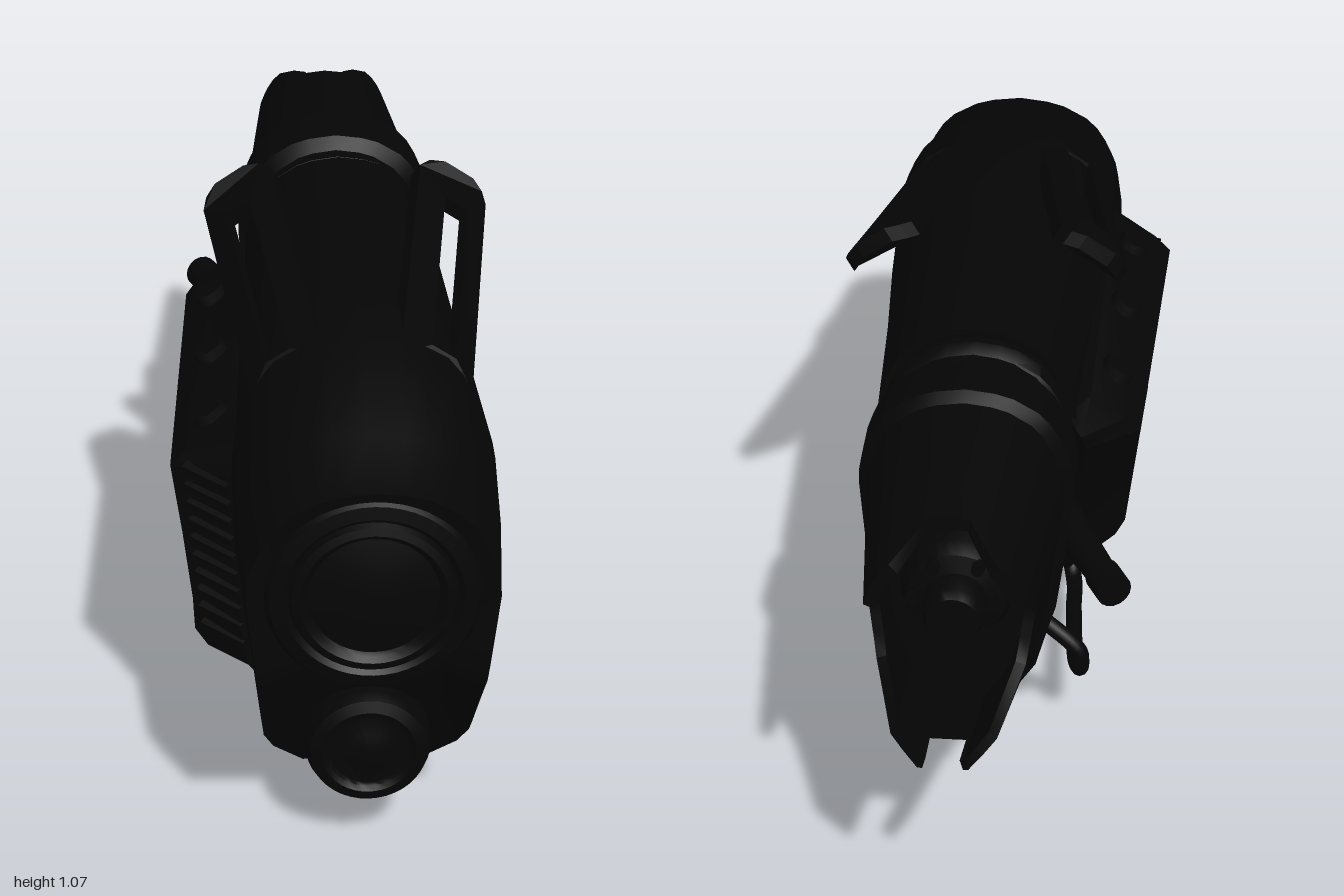
import * as THREE from 'three';
import { toCreasedNormals } from 'three/addons/utils/BufferGeometryUtils.js';

const CX = 0.04; // body symmetry plane
const mat = new THREE.MeshStandardMaterial({ color: 0x050505, side: THREE.DoubleSide });

function add(parent, name, geo, x = 0, y = 0, z = 0, rx = 0, ry = 0, rz = 0) {
  const m = new THREE.Mesh(geo, mat);
  m.name = name;
  m.position.set(x, y, z);
  m.rotation.set(rx, ry, rz);
  parent.add(m);
  return m;
}

// Piecewise linear lookup in rows [key, a, b, ...] with rising keys
function lerpRows(rows, k) {
  if (k <= rows[0][0]) return rows[0].slice(1);
  for (let i = 1; i < rows.length; i++) {
    const p = rows[i - 1], q = rows[i];
    if (k <= q[0]) return p.slice(1).map((a, j) => a + (q[j + 1] - a) * (k - p[0]) / (q[0] - p[0]));
  }
  return rows[rows.length - 1].slice(1);
}

// Skin closed rings of points; optionally cap the ends with fans
function skin(rings, capStart, capEnd) {
  const n = rings[0].length, pos = rings.flat(2), idx = [];
  for (let s = 0; s < rings.length - 1; s++)
    for (let i = 0; i < n; i++) {
      const a = s * n + i, b = s * n + (i + 1) % n;
      idx.push(a, b, a + n, b, b + n, a + n);
    }
  const cap = (s, flip) => {
    const c = pos.length / 3, mid = [0, 1, 2].map(k => rings[s].reduce((t, p) => t + p[k], 0) / n);
    pos.push(...mid);
    for (let i = 0; i < n; i++) {
      const a = s * n + i, b = s * n + (i + 1) % n;
      idx.push(c, flip ? b : a, flip ? a : b);
    }
  };
  if (capStart) cap(0, true);
  if (capEnd) cap(rings.length - 1, false);
  const g = new THREE.BufferGeometry();
  g.setAttribute('position', new THREE.Float32BufferAttribute(pos, 3));
  g.setIndex(idx);
  return toCreasedNormals(g, 0.55);
}

// Hull dimensions along z: z, top, bottom, half width
const HULL = [[-1, .915, .485, .14], [-.93, .92, .455, .148], [-.6, .965, .33, .187], [-.5, .97, .265, .195],
  [-.3, .955, .235, .198], [-.24, .975, .225, .2], [0, .975, .17, .21], [.35, .975, .12, .235],
  [.67, .973, .11, .25], [.82, .895, .11, .247], [.985, .86, .12, .232]];

// Egg section, half outline [u, v, insideNotch]
const HALF = [[0, 0, 1], [.27, 0, 1], [.27, 0, 0], [.48, 0, 0], [.72, .08, 0], [.8, .15, 0]];
for (let v = .2; v < .7; v += .05) HALF.push([.8 + .2 * (v - .15) / .55, v, 0]);
HALF.push([1, .7, 0], [.995, .74, 0], [.97, .78, 0], [.92, .82, 0], [.86, .86, 0], [.78, .9, 0], [.67, .935, 0],
  [.44, .975, 0], [.27, .99, 0], [.27, .99, 1], [0, 1, 1]);
const RING = [...HALF, ...HALF.slice(1, -1).reverse().map(([u, v, n]) => [-u, v, n])];

// One hull ring: zf gives z per height fraction, d grows or shrinks the section; the belly rounds off to the rear
const ring = (zf, d = 0) => RING.map(([u, v, n]) => {
  const z = zf(v, n, u), [top, bot, hw] = lerpRows(HULL, z);
  const round = lerpRows([[-.4, 1], [.05, 0]], z)[0];
  const belly = 1 - round * lerpRows([[0, .3], [.08, .26], [.15, .14], [.35, 0]], v)[0] * (Math.abs(u) > .3 ? 1 : 0);
  return [CX + u * belly * (hw + d), bot - d + v * (top - bot + 2 * d), z];
});
const slant = (low, high, a = .3, b = .72) => v => lerpRows([[a, low], [b, high]], v)[0];

// Long curved frame with a slot, rising toward the rear; side is +1 or -1
function frame(parent, side) {
  const sh = new THREE.Shape([[-.082, -.64], [.082, -.64], [.082, -.03], [.065, -.008], [.035, 0], [-.035, 0],
    [-.065, -.008], [-.082, -.03]].map(p => new THREE.Vector2(...p)));
  sh.holes.push(new THREE.Path([[-.028, -.6], [-.028, -.12], [.028, -.12], [.028, -.6]].map(p => new THREE.Vector2(...p))));
  const geo = new THREE.ExtrudeGeometry(sh, { depth: .032, bevelEnabled: false });
  const p = geo.attributes.position;
  for (let i = 0; i < p.count; i++) p.setZ(i, p.getZ(i) - 3.6 * p.getX(i) ** 2);
  const tilt = .235, T = new THREE.Vector3(.83, -.56 * side, 0).normalize();
  const L = new THREE.Vector3(side * .56 * Math.sin(tilt), .83 * Math.sin(tilt), -Math.cos(tilt)).normalize();
  geo.applyMatrix4(new THREE.Matrix4().makeBasis(T, L, T.clone().cross(L)));
  geo.computeVertexNormals();
  add(parent, side > 0 ? 'leftFrame' : 'rightFrame', geo, CX + side * .22, 1.02, -.015);
}

export function createModel() {
  const g = new THREE.Group();
  g.name = 'device';

  // Main hull: raked nose, slanted rear seam
  const nose = v => v > .46 ? .985 : .985 - .57 * (.46 - v);
  const before = z => v => Math.min(z, nose(v) - .02);
  add(g, 'mainHull', skin([ring(nose), ring(before(.82)), ring(before(.67)), ring(() => .35), ring(() => .1),
    ring(slant(0, -.24)), ring(slant(0, -.24), -.02)], true, true));
  add(g, 'midSection', skin([ring(slant(.01, -.23), -.018), ring(slant(-.13, -.35), -.01),
    ring(slant(-.56, -.5), -.01)], true, true));
  add(g, 'seamRib', skin([ring(slant(-.03, -.265), -.012), ring(slant(-.04, -.27), -.002),
    ring(slant(-.07, -.3), -.002), ring(slant(-.08, -.31), -.012)]));
  add(g, 'rearCollar', skin([ring(slant(-.12, -.33), -.012), ring(slant(-.14, -.36), .014),
    ring(slant(-.54, -.475), .014), ring(slant(-.57, -.5), -.003)]));

  // Hollow rear shell with jaw-like opening and notches, the upper notch flared
  const JAW = [[0, -1], [.16, -.97], [.3, -.86], [.36, -.81], [.59, -.78], [.73, -.925], [1, -.925]];
  const jaw = (v, n, u) => n ? -.83
    : v > .9 ? -.84 - .085 * Math.min(1, (Math.abs(u) - .27) / .35) : lerpRows(JAW, v)[0];
  add(g, 'rearShell', skin([ring(slant(-.55, -.49), -.003), ring(jaw), ring(jaw, -.022),
    ring(() => -.64, -.035)], false, true));
  const turned = (pts, seg = 32) => toCreasedNormals(
    new THREE.LatheGeometry(pts.map(p => new THREE.Vector2(...p)), seg).rotateX(Math.PI / 2), 0.6);
  add(g, 'rearCore', turned([[0, -.15], [.05, -.15], [.06, -.13], [.06, -.08], [.095, -.07], [.11, -.04], [.11, .03]]),
    CX, .66, -.63);
  for (let i = 0; i < 6; i++) {
    const a = i * Math.PI / 3;
    add(g, 'coreStud', new THREE.CylinderGeometry(.013, .013, .04, 8), CX + Math.cos(a) * .085, .66 + Math.sin(a) * .085, -.7, Math.PI / 2);
  }

  // Upper lens and lower lens housing
  add(g, 'upperLens', turned([[.2, -.05], [.2, -.01], [.19, .004], [.165, .008], [.155, -.002], [.15, .01],
    [.135, .014], [.125, .006], [.12, -.002], [.07, .008], [0, .012]], 48), CX, .645, .985);
  add(g, 'lowerLens', turned([[.12, -.3], [.12, -.03], [.112, -.008], [.09, 0], [.082, -.008], [.075, -.01],
    [.04, 0], [0, .004]], 40), CX, .237, .89);

  // Stepped trough-shaped underside units
  const U = [[-.12, .17], [-.128, .1], [-.113, .045], [-.078, .015], [-.04, .004], [0, 0]];
  const trough = new THREE.Shape([...U, ...U.slice(0, -1).reverse().map(([x, y]) => [-x, y])].map(p => new THREE.Vector2(...p)));
  const under = (name, y, z, depth, rx) =>
    add(g, name, new THREE.ExtrudeGeometry(trough, { depth, bevelEnabled: false }), CX, y, z, rx);
  under('underPodFront', .062, .455, .21, -.03);
  under('underPodRear', .028, .24, .215, .12);
  for (let i = -2; i <= 2; i++)
    add(g, 'podStud', new THREE.SphereGeometry(.013, 10, 8), CX + i * .04, .04 + i * i * .005, .455);

  // Pair of slotted frames
  frame(g, 1);
  frame(g, -1);

  // Side box with louvred front; its rear edge runs parallel to the hull seam
  const BOX = [[-.12, .25], [-.18, .245], [-.26, .29], [-.285, .33], [-.288, .4], [-.305, .55], [-.325, .7],
    [-.29, .735], [-.2, .785], [-.12, .785]];
  const boxRing = (zf, k) => BOX.map(([x, y]) => [-.12 + (x + .12) * k, y, zf(y)]);
  add(g, 'sideBox', skin([boxRing(() => .655, .45), boxRing(() => .58, 1), boxRing(slant(.05, -.17, .38, .72), .82),
    boxRing(slant(-.02, -.25, .38, .72), .3)], true, true));
  for (let i = 0; i < 10; i++)
    add(g, 'louvre', new THREE.BoxGeometry(.1, .014, .03), -.225 - i * .0032, .35 + i * .039, .622, .3, -.62, 0);
  for (const z of [-.03, .23, .49])
    add(g, 'boxBolt', new THREE.CylinderGeometry(.034, .04, .03, 6), -.235 - z * .02, .762, z, 0, 0, .5);

  // Lever behind the side box
  const lever = new THREE.Group();
  lever.name = 'lever';
  lever.position.set(-.115, .57, -.25);
  lever.rotation.y = .45;
  g.add(lever);
  add(lever, 'leverArm', new THREE.CylinderGeometry(.03, .045, .28, 16), 0, 0, -.13, -Math.PI / 2);
  add(lever, 'leverTip', new THREE.CylinderGeometry(.036, .036, .06, 16), 0, 0, -.29, -Math.PI / 2);

  // Row of three knobs under the rear
  [[.14, -.21], [.195, -.355], [.24, -.49]].forEach(([y, z], i) => {
    const k = new THREE.Group(), r = 1 - i * .13;
    k.name = 'knob';
    k.position.set(CX, y, z);
    k.rotation.x = .3;
    g.add(k);
    add(k, 'knobStem', new THREE.CylinderGeometry(.03 * r, .03 * r, .12, 16), 0, .03, 0);
    add(k, 'knobCap', new THREE.CylinderGeometry(.038 * r, .042 * r, .04, 16), 0, -.028, 0);
    add(k, 'knobCollar', new THREE.CylinderGeometry(.045 * r, .045 * r, .03, 16), 0, .045, 0);
  });

  // Bent wire guard at the lower right side
  const path = new THREE.CatmullRomCurve3([[-.08, .19, .18], [-.125, .15, .17], [-.143, .11, .13], [-.15, .118, 0],
    [-.165, .14, -.2], [-.178, .17, -.27], [-.175, .23, -.29], [-.09, .3, -.27]]
    .map(p => new THREE.Vector3(...p)), false, 'centripetal');
  add(g, 'wireGuard', new THREE.TubeGeometry(path, 60, .018, 10));
  return g;
}
